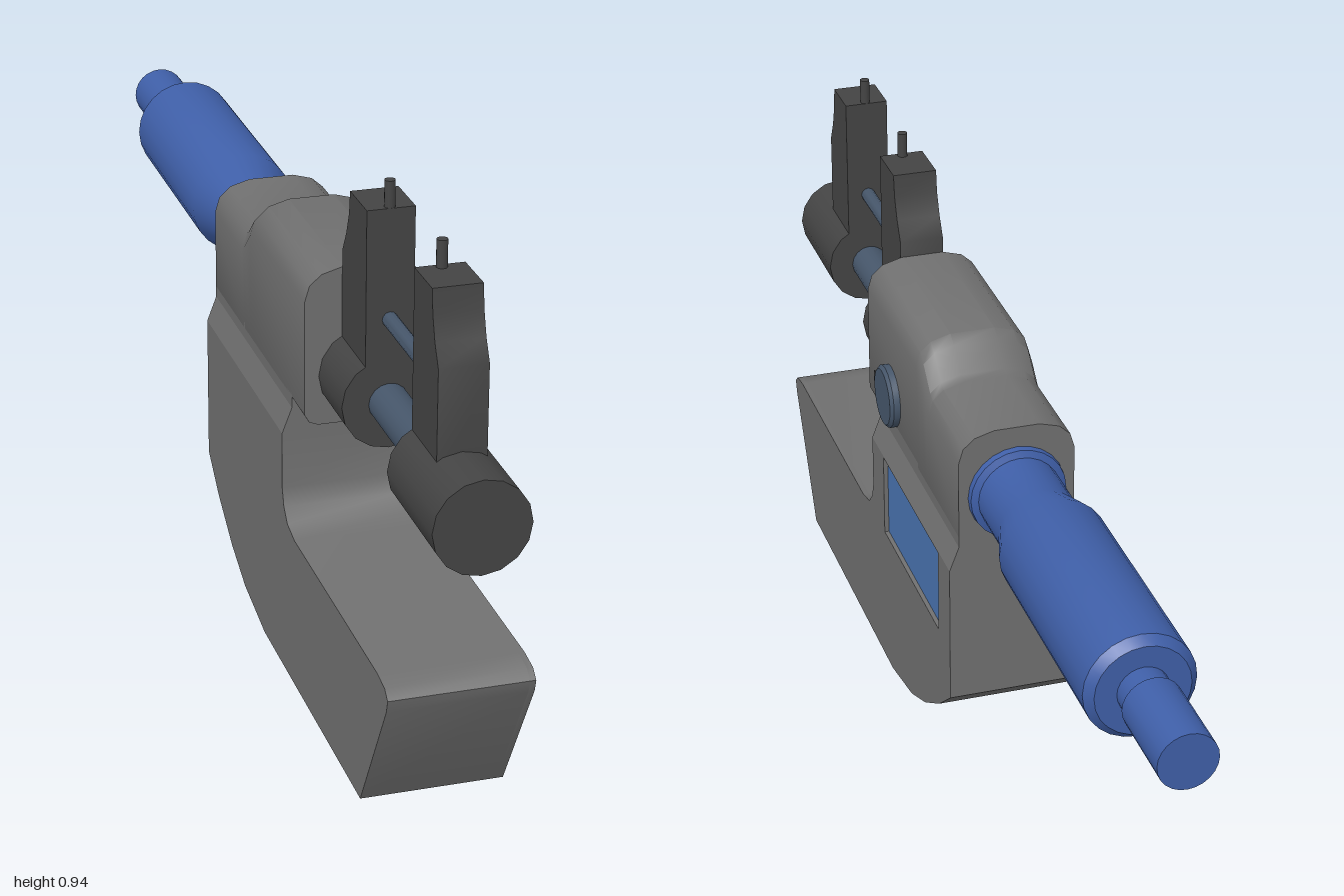
import * as THREE from 'three';
import { toCreasedNormals } from 'three/addons/utils/BufferGeometryUtils.js';

const mat = (color) => new THREE.MeshStandardMaterial({ color });
const frameGrey = mat(0x707070);
const darkGrey = mat(0x444444);
const steel = mat(0x46566a);
const blue = mat(0x3f5fa8);
const screenBlue = mat(0x4a74b0);
const CREASE = 0.6;

const shapeOf = (pts) => new THREE.Shape(pts.map(([a, b]) => new THREE.Vector2(a, b)));

// Side profile of (z, y) points, extruded across x from x0 to x1
function acrossX(pts, x0, x1, hole) {
  const shape = shapeOf(pts);
  if (hole) shape.holes.push(shapeOf(hole));
  const geo = new THREE.ExtrudeGeometry(shape, { depth: x1 - x0, bevelEnabled: false });
  geo.rotateY(-Math.PI / 2).translate(x1, 0, 0);
  return toCreasedNormals(geo, CREASE);
}

// Solid of revolution along z from (radius, z) points, z ascending
function turned(pts, y, sides) {
  const geo = new THREE.LatheGeometry(pts.map(([r, z]) => new THREE.Vector2(r, z)), sides);
  geo.rotateX(Math.PI / 2).translate(0, y, 0);
  return toCreasedNormals(geo, CREASE);
}
const rod = (r, z0, z1, y, sides) => turned([[0, z0], [r, z0], [r, z1], [0, z1]], y, sides);

// Skin over convex cross-sections, ordered from back to front
function loft(sections) {
  const n = sections[0].length;
  const index = [];
  for (let s = 0; s < sections.length - 1; s++) {
    for (let i = 0; i < n; i++) {
      const a = s * n + i, b = s * n + (i + 1) % n;
      index.push(a, b, b + n, a, b + n, a + n);
    }
  }
  const last = (sections.length - 1) * n;
  for (let i = 1; i < n - 1; i++) {
    index.push(0, i + 1, i, last, last + i, last + i + 1);
  }
  const geo = new THREE.BufferGeometry();
  geo.setAttribute('position', new THREE.Float32BufferAttribute(sections.flat(2), 3));
  geo.setIndex(index);
  return toCreasedNormals(geo, CREASE);
}

// Head cross-section with rounded corners at a given z and top height
function headSection(z, top) {
  const half = [
    [0.08, 0.48], [0.095, 0.486], [0.103, 0.5],
    [0.103, top - 0.055], [0.095, top - 0.028], [0.075, top - 0.01], [0.04, top],
  ];
  const mirrored = half.map(([x, y]) => [-x, y]).reverse();
  return [...half, ...mirrored].map(([x, y]) => [x, y, z]);
}

export function createModel() {
  const model = new THREE.Group();
  const add = (name, geo, material, parent = model) => {
    const mesh = new THREE.Mesh(geo, material);
    mesh.name = name;
    parent.add(mesh);
    return mesh;
  };

  // Frame with lower arm; a thin outer layer leaves the recess for the display
  const profile = [
    [0.79, 0], [0.22, 0], [0.09, 0.025], [0, 0.063], [-0.09, 0.118], [-0.16, 0.175],
    [-0.16, 0.435], [0.335, 0.435], [0.335, 0.335], [0.345, 0.305], [0.367, 0.282], [0.41, 0.272],
    [0.87, 0.272], [0.91, 0.266], [0.926, 0.252], [0.92, 0.23],
  ];
  const windowRect = [[-0.09, 0.275], [0.26, 0.275], [0.26, 0.432], [-0.09, 0.432]];
  const frame = new THREE.Group();
  frame.name = 'frame';
  model.add(frame);
  add('frameBody', acrossX(profile, -0.12, 0.11), frameGrey, frame);
  add('frameFace', acrossX(profile, 0.11, 0.12, windowRect), frameGrey, frame);
  add('displayPanel', acrossX(windowRect, 0.108, 0.112), screenBlue);

  // Tapered neck between frame and head
  const neck = new THREE.ExtrudeGeometry(
    shapeOf([[-0.12, 0.435], [0.12, 0.435], [0.103, 0.48], [0.103, 0.51], [-0.103, 0.51], [-0.103, 0.48]]),
    { depth: 0.495, bevelEnabled: false });
  neck.translate(0, 0, -0.16);
  add('neck', neck, frameGrey, frame);

  // Rounded head with a step down toward the back
  const stations = [[-0.16, 0.698], [0.02, 0.698], [0.035, 0.705], [0.075, 0.742], [0.095, 0.755], [0.41, 0.755]];
  add('head', loft(stations.map(([z, top]) => headSection(z, top))), frameGrey, frame);

  // Two jaws: round base, upright post and measuring pin
  const jaw = (name, flat, dir, z0, z1) => {
    const group = new THREE.Group();
    group.name = name;
    model.add(group);
    const reach = dir > 0 ? [0.12, 0.12, 0.102, 0.09, 0.085] : [0.13, 0.13, 0.11, 0.095, 0.09];
    const heights = [0.568, 0.785, 0.82, 0.86, 0.9];
    const post = [[flat, 0.568], ...reach.map((r, i) => [flat + dir * r, heights[i]]), [flat, 0.9]];
    add('jawBase', rod(0.079, z0, z1, 0.567, 16), darkGrey, group);
    add('jawPost', acrossX(post, -0.04, 0.04), darkGrey, group);
    const pin = new THREE.CylinderGeometry(0.009, 0.009, 0.065, 12);
    pin.translate(0, 0.9125, flat + dir * 0.009);
    add('jawPin', pin, darkGrey, group);
  };
  jaw('frontJaw', 0.78, 1, 0.78, 1);
  jaw('rearJaw', 0.54, -1, 0.4, 0.54);

  // Spindle and guide rod between the jaws
  add('spindle', rod(0.034, 0.53, 0.79, 0.567, 16), steel);
  add('guideRod', rod(0.013, 0.53, 0.79, 0.712, 12), steel);

  // Thimble with ratchet knob at the back
  add('thimble', turned([
    [0, -1], [0.05, -1], [0.05, -0.842], [0.043, -0.842], [0.043, -0.8],
    [0.08, -0.8], [0.094, -0.785], [0.094, -0.36], [0.073, -0.29], [0.073, -0.177],
    [0.085, -0.172], [0.087, -0.155], [0, -0.155],
  ], 0.574, 24), blue);

  // Lock dial with its small lever on the left side
  const dial = toCreasedNormals(new THREE.LatheGeometry(
    [[0, 0], [0.058, 0], [0.058, 0.015], [0.052, 0.021], [0, 0.021]].map(([r, y]) => new THREE.Vector2(r, y)), 20), CREASE);
  dial.rotateZ(-Math.PI / 2).translate(0.1, 0.56, 0.257);
  add('lockDial', dial, steel);
  const lever = new THREE.BoxGeometry(0.016, 0.026, 0.05);
  lever.translate(0.105, 0.558, 0.315);
  add('lockLever', lever, darkGrey);

  return model;
}
